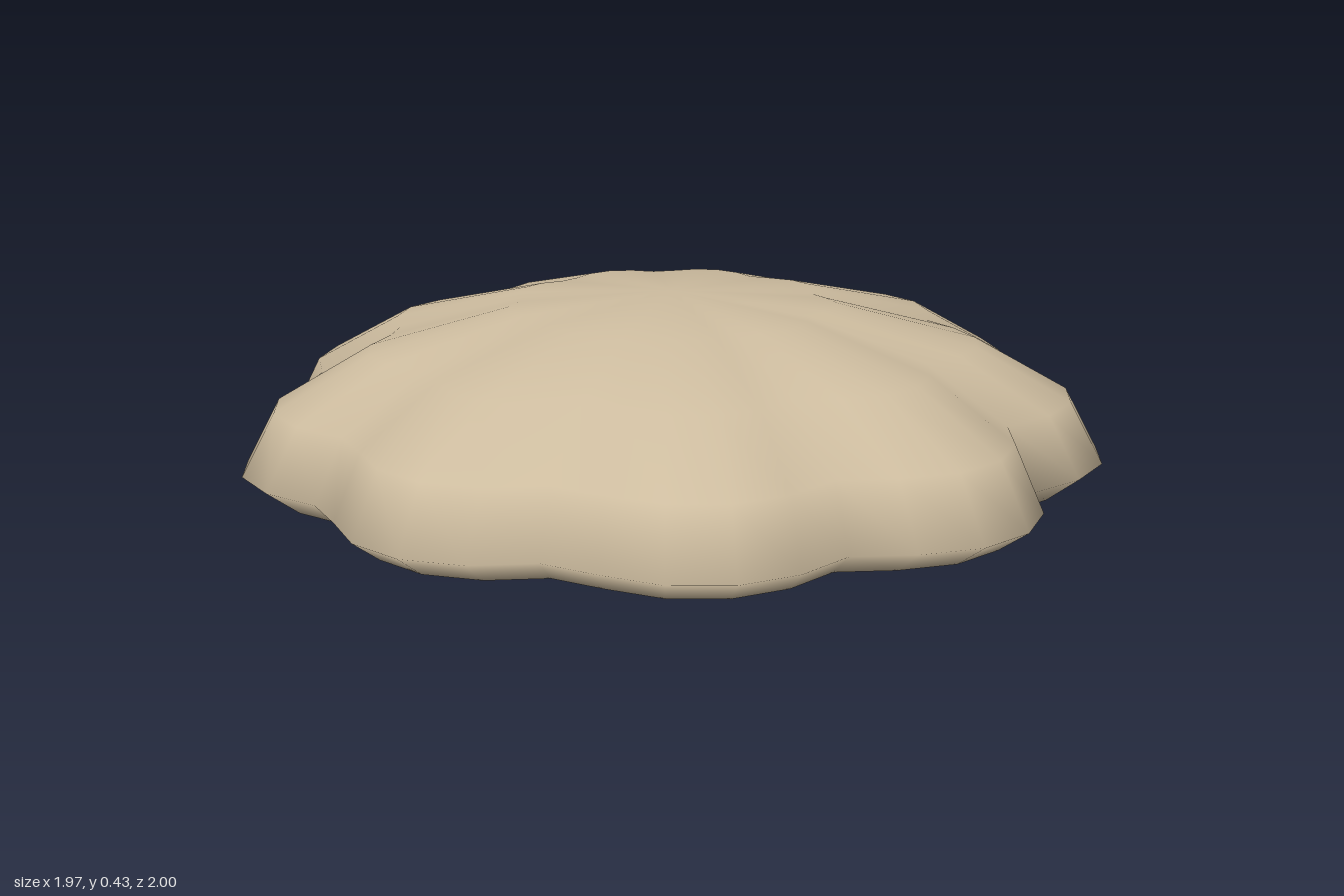
import * as THREE from 'three';
import { mergeVertices } from 'three/addons/utils/BufferGeometryUtils.js';

const LOBES = 9;
const VALLEY = 0.89;   // radius in the grooves
const BULGE = 0.12;    // extra radius at the lobe crests
const DOME = 0.375;    // dome height above the widest ring
const RIM = 0.055;     // height of the widest ring
const SHIFT = 0.02;    // centres the odd-lobed outline on x

export function createModel() {
  const group = new THREE.Group();
  group.name = 'scallopedCushion';

  // Sphere squashed to a dome, scalloped into lobes and cut flat at the ground
  let geometry = new THREE.SphereGeometry(1, 44, 8);
  const p = geometry.attributes.position;
  for (let i = 0; i < p.count; i++) {
    const x = p.getX(i), y = p.getY(i), z = p.getZ(i);
    const angle = Math.atan2(z, x);
    const r = VALLEY + BULGE * Math.abs(Math.sin(angle * LOBES / 2));
    p.setXYZ(i, x * r + SHIFT, Math.max(0, RIM + DOME * y), z * r);
  }

  // Weld the seam and poles so the shading is smooth all round
  geometry.deleteAttribute('uv');
  geometry.deleteAttribute('normal');
  geometry = mergeVertices(geometry, 1e-4);
  geometry.computeVertexNormals();

  const cushion = new THREE.Mesh(geometry, new THREE.MeshStandardMaterial({ color: 0xcdbc9f }));
  cushion.name = 'lobedDome';
  group.add(cushion);
  return group;
}
